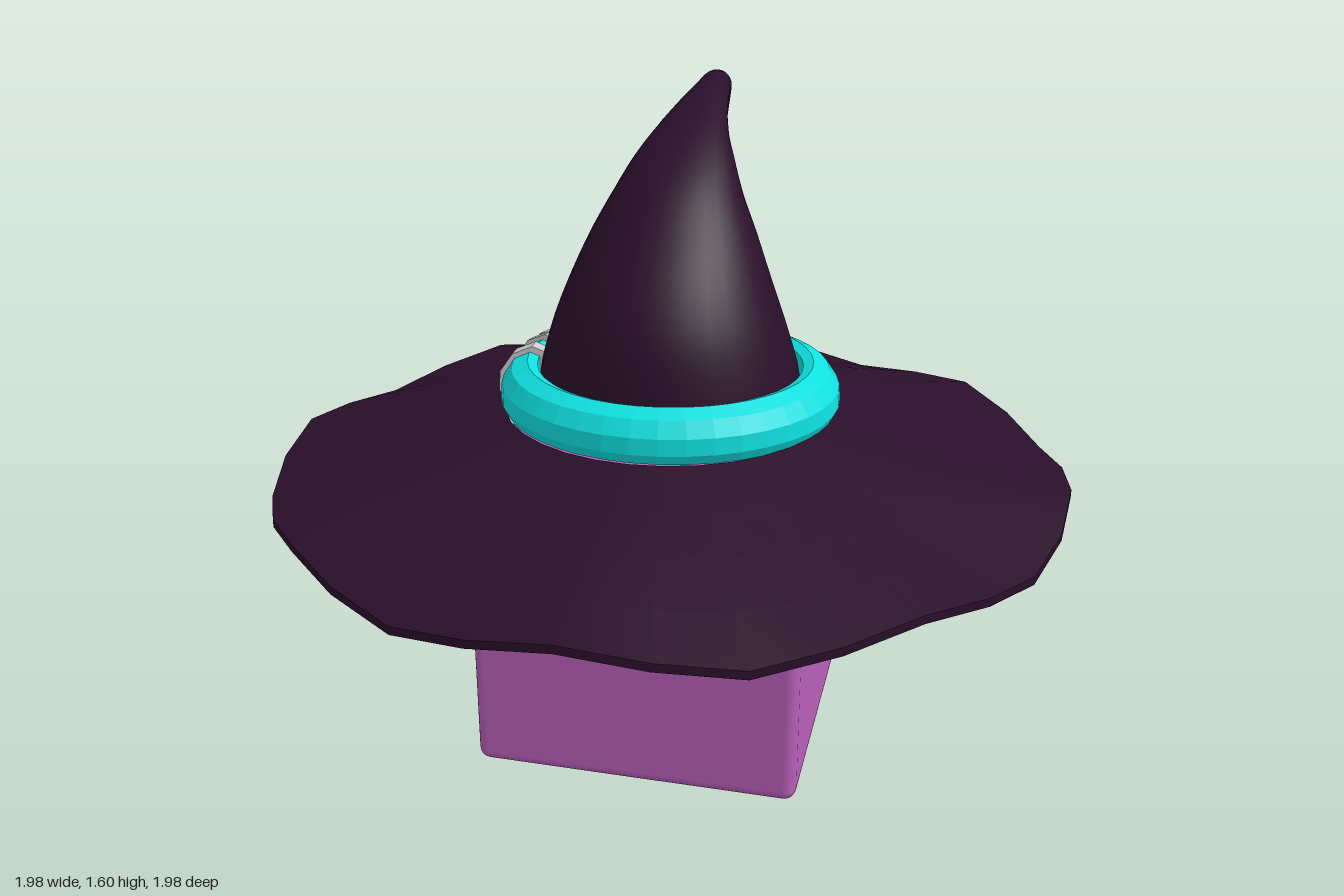
import * as THREE from 'three';
import { toCreasedNormals } from 'three/addons/utils/BufferGeometryUtils.js';
import { RoundedBoxGeometry } from 'three/addons/geometries/RoundedBoxGeometry.js';

const material = (name, color, extra = {}) => new THREE.MeshStandardMaterial({ name, color, ...extra });
const deg = THREE.MathUtils.degToRad;

function addMesh(parent, name, geometry, mat) {
  const mesh = new THREE.Mesh(geometry, mat);
  mesh.name = name;
  parent.add(mesh);
  return mesh;
}

// Wide brim: a thin closed profile turned round, then waved towards the rim
function brimGeometry() {
  const top = r => 0.86 - 0.165 * (r - 0.41) / 0.58;
  const radii = [0.41, 0.56, 0.7, 0.85, 0.99];
  const profile = radii.map(r => new THREE.Vector2(r, top(r) - 0.02));
  [...radii].reverse().forEach(r => profile.push(new THREE.Vector2(r, top(r))));
  profile.push(profile[0].clone());
  const g = new THREE.LatheGeometry(profile, 32);
  const p = g.attributes.position;
  for (let i = 0; i < p.count; i++) {
    const x = p.getX(i), z = p.getZ(i);
    const t = (Math.hypot(x, z) - 0.41) / 0.58;
    p.setY(i, p.getY(i) + 0.025 * t * t * Math.cos(8 * Math.atan2(x, z)));
  }
  return toCreasedNormals(g, 0.5);
}

// Bent crown: elliptical rings spanned between a front and a back edge
function crownGeometry() {
  // front z, front y, back z, back y, half width, x offset
  const rows = [
    [0.34, 0.86, -0.335, 0.86, 0.335, 0],
    [0.325, 0.975, -0.31, 0.975, 0.315, 0],
    [0.295, 1.1, -0.278, 1.08, 0.28, 0],
    [0.235, 1.21, -0.25, 1.18, 0.24, 0],
    [0.15, 1.31, -0.235, 1.27, 0.2, 0],
    [0.04, 1.41, -0.228, 1.34, 0.157, 0],
    [-0.08, 1.48, -0.235, 1.4, 0.125, 0],
    [-0.2, 1.53, -0.262, 1.44, 0.095, 0],
    [-0.33, 1.567, -0.33, 1.475, 0.07, 0],
    [-0.45, 1.59, -0.44, 1.5, 0.05, 0],
    [-0.55, 1.597, -0.54, 1.513, 0.04, -0.005],
    [-0.625, 1.572, -0.593, 1.508, 0.034, -0.01],
    [-0.65, 1.5, -0.612, 1.47, 0.028, -0.015],
    [-0.66, 1.38, -0.63, 1.375, 0.02, -0.025],
    [-0.668, 1.3, -0.642, 1.29, 0.017, -0.04],
    [-0.685, 1.245, -0.657, 1.235, 0.015, -0.05],
  ];
  const curve = f => new THREE.CatmullRomCurve3(rows.map(r => new THREE.Vector3(...f(r))));
  const front = curve(r => [r[5], r[1], r[0]]);
  const back = curve(r => [r[5], r[3], r[2]]);
  const width = curve(r => [r[4], 0, 0]);
  const rings = 45, sides = 32, pos = [], index = [];
  for (let i = 0; i <= rings; i++) {
    const f = front.getPoint(i / rings), b = back.getPoint(i / rings), w = width.getPoint(i / rings).x;
    const c = f.clone().add(b).multiplyScalar(0.5);
    const half = f.sub(c);
    for (let j = 0; j < sides; j++) {
      const a = j / sides * Math.PI * 2;
      const v = c.clone().addScaledVector(half, Math.cos(a));
      pos.push(v.x + w * Math.sin(a), v.y, v.z);
      if (i === rings) continue;
      const p = i * sides + j, q = i * sides + (j + 1) % sides;
      index.push(p, q, p + sides, q, q + sides, p + sides);
    }
  }
  // tip cap
  const last = rings * sides;
  for (let j = 1; j < sides - 1; j++) index.push(last, last + j, last + j + 1);
  const g = new THREE.BufferGeometry();
  g.setAttribute('position', new THREE.Float32BufferAttribute(pos, 3));
  g.setIndex(index);
  g.computeVertexNormals();
  return g;
}

export function createModel() {
  const model = new THREE.Group();
  model.name = 'hattedCube';
  const hat = material('dark plum felt', 0x2a0f2a);
  const skin = material('purple skin', 0xb75fb7);
  const cyan = material('turquoise band', 0x10e0e0, { flatShading: true });
  const silver = material('silver metal', 0xc9c9c9, { flatShading: true, side: THREE.DoubleSide });
  const ink = material('black face', 0x141014);

  // Cube body
  addMesh(model, 'body', new RoundedBoxGeometry(0.81, 0.79, 0.81, 3, 0.03), skin).position.y = 0.395;

  // Hat
  addMesh(model, 'brim', brimGeometry(), hat);
  addMesh(model, 'crown', crownGeometry(), hat);

  // Hat band
  const outline = [[0.33, 0.855], [0.41, 0.855], [0.423, 0.88], [0.42, 0.92], [0.395, 0.957], [0.355, 0.975], [0.33, 0.965]];
  const vec = pts => pts.map(p => new THREE.Vector2(...p));
  const closed = pts => [...pts, pts[0].clone()];
  addMesh(model, 'hatBand', new THREE.LatheGeometry(closed(vec(outline)), 40), cyan).scale.z = 0.955;

  // Buckle: capped sectors a little larger than the band
  const buckle = new THREE.Group();
  buckle.name = 'buckle';
  buckle.scale.z = 0.955;
  model.add(buckle);
  const bigger = outline.map(([r, y]) => [0.377 + (r - 0.377) * 1.3, 0.915 + (y - 0.915) * 1.25]);
  function sector(name, pts, from, to) {
    const profile = vec(pts);
    addMesh(buckle, name, new THREE.LatheGeometry(closed(profile), 5, deg(from), deg(to - from)), silver);
    for (const a of [from, to]) {
      addMesh(buckle, name + 'End', new THREE.ShapeGeometry(new THREE.Shape(profile)).rotateY(deg(a - 90)), silver);
    }
  }
  sector('frameBackBar', bigger, 233, 239);
  sector('frameFrontBar', bigger, 255, 260);
  sector('frameLowerBar', [[0.37, 0.9], ...bigger.slice(1, 3), [0.437, 0.89]], 239, 255);
  sector('frameUpperBar', [[0.36, 0.93], [0.385, 0.978], ...bigger.slice(5)], 239, 255);
  sector('strapLoop', bigger, 270, 277);

  // Face on the right side: oval eyes and a wavy mouth
  for (const side of [-1, 1]) {
    const eye = addMesh(model, side < 0 ? 'backEye' : 'frontEye', new THREE.SphereGeometry(1, 20, 14), ink);
    eye.scale.set(0.022, 0.115, 0.065);
    eye.position.set(-0.405, 0.605, side * 0.17);
  }
  const mouthPoints = [];
  for (let i = 0; i <= 64; i++) {
    const t = i / 64;
    mouthPoints.push(new THREE.Vector3(-0.422, 0.268 + 0.022 * Math.sin(t * Math.PI * 16), -0.27 + 0.54 * t));
  }
  addMesh(model, 'mouth', new THREE.TubeGeometry(new THREE.CatmullRomCurve3(mouthPoints), 128, 0.012, 6), ink);

  return model;
}
